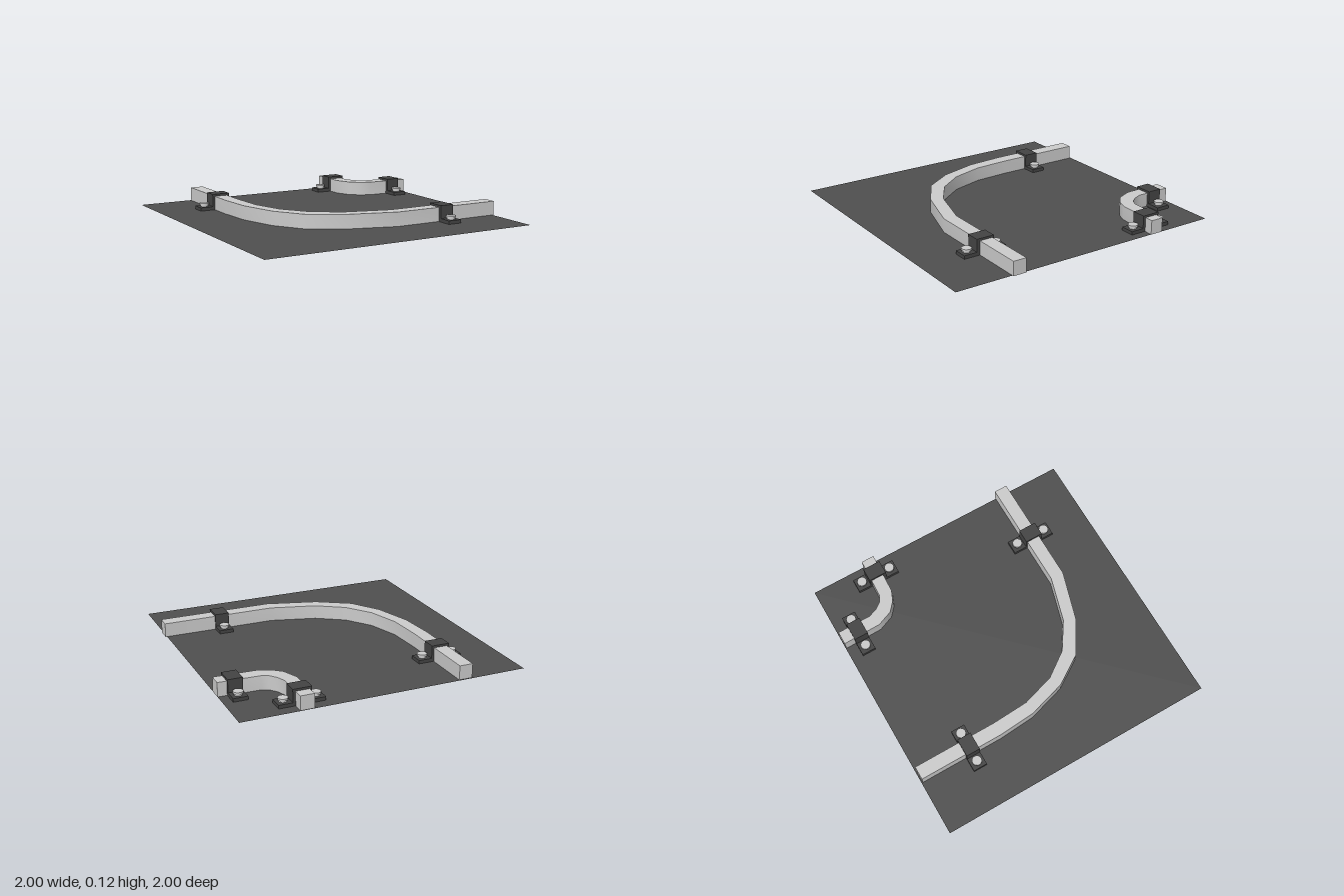
import * as THREE from 'three';
import { toCreasedNormals } from 'three/addons/utils/BufferGeometryUtils.js';

const grey = new THREE.MeshStandardMaterial({ color: 0xcccccc });
const plateDark = new THREE.MeshStandardMaterial({ color: 0x4f4f4f, side: THREE.DoubleSide });
const clampDark = new THREE.MeshStandardMaterial({ color: 0x444444 });

function named(name, geometry, material) {
  const mesh = new THREE.Mesh(geometry, material);
  mesh.name = name;
  return mesh;
}

// Square bar following a floor plan given by its outer and inner [x, z] edges
function makeRail(name, outer, inner) {
  const outline = [...outer, ...[...inner].reverse()].map(([x, z]) => new THREE.Vector2(x, -z));
  const geo = new THREE.ExtrudeGeometry(new THREE.Shape(outline), { depth: 0.099, bevelEnabled: false });
  geo.rotateX(-Math.PI / 2);
  geo.translate(0, 0.001, 0);
  return named(name, toCreasedNormals(geo, 0.7), grey);
}

// Hat-shaped clamp over a rail, with a bolt through each foot
function makeClamp(name, x, z, turned) {
  const clamp = new THREE.Group();
  clamp.name = name;
  const half = 0.158, hat = 0.064, foot = 0.026, top = 0.115, width = 0.1;
  const profile = new THREE.Shape([
    [-half, 0], [half, 0], [half, foot], [hat, foot],
    [hat, top], [-hat, top], [-hat, foot], [-half, foot],
  ].map(([px, py]) => new THREE.Vector2(px, py)));
  const strap = new THREE.ExtrudeGeometry(profile, { depth: width, bevelEnabled: false });
  strap.translate(0, 0, -width / 2);
  clamp.add(named('strap', strap, clampDark));

  for (const side of [-1, 1]) {
    const shank = named('boltShank', new THREE.CylinderGeometry(0.027, 0.027, 0.014, 16), grey);
    shank.position.set(side * 0.11, 0.032, 0);
    const head = named('boltHead', new THREE.CylinderGeometry(0.034, 0.034, 0.014, 16), grey);
    head.position.set(side * 0.11, 0.045, 0);
    clamp.add(shank, head);
  }
  clamp.position.set(x, 0, z);
  if (turned) clamp.rotation.y = Math.PI / 2;
  return clamp;
}

export function createModel() {
  const model = new THREE.Group();
  model.name = 'railPlate';

  // Thin floor plate
  const plate = new THREE.PlaneGeometry(1.99, 2);
  plate.rotateX(-Math.PI / 2);
  plate.translate(-0.005, 0.002, 0);
  model.add(named('floorPlate', plate, plateDark));

  // Large and small curved rails
  model.add(makeRail('largeRail',
    [[-0.61, -0.99], [-0.61, -0.38], [-0.59, -0.12], [-0.51, 0.15], [-0.38, 0.35],
      [-0.155, 0.49], [0.195, 0.595], [1, 0.595]],
    [[-0.515, -0.99], [-0.515, -0.38], [-0.5, -0.12], [-0.43, 0.11], [-0.305, 0.285],
      [-0.115, 0.41], [0.2, 0.5], [1, 0.5]]));
  model.add(makeRail('smallRail',
    [[0.5, -0.995], [0.505, -0.72], [0.55, -0.61], [0.615, -0.555], [0.69, -0.525], [0.99, -0.512]],
    [[0.595, -0.995], [0.595, -0.75], [0.62, -0.685], [0.655, -0.64], [0.7, -0.617], [0.99, -0.605]]));

  // Two clamps on each rail
  model.add(
    makeClamp('largeRailBackClamp', -0.562, -0.606, false),
    makeClamp('largeRailFrontClamp', 0.58, 0.554, true),
    makeClamp('smallRailBackClamp', 0.55, -0.87, false),
    makeClamp('smallRailSideClamp', 0.877, -0.56, true),
  );
  return model;
}
